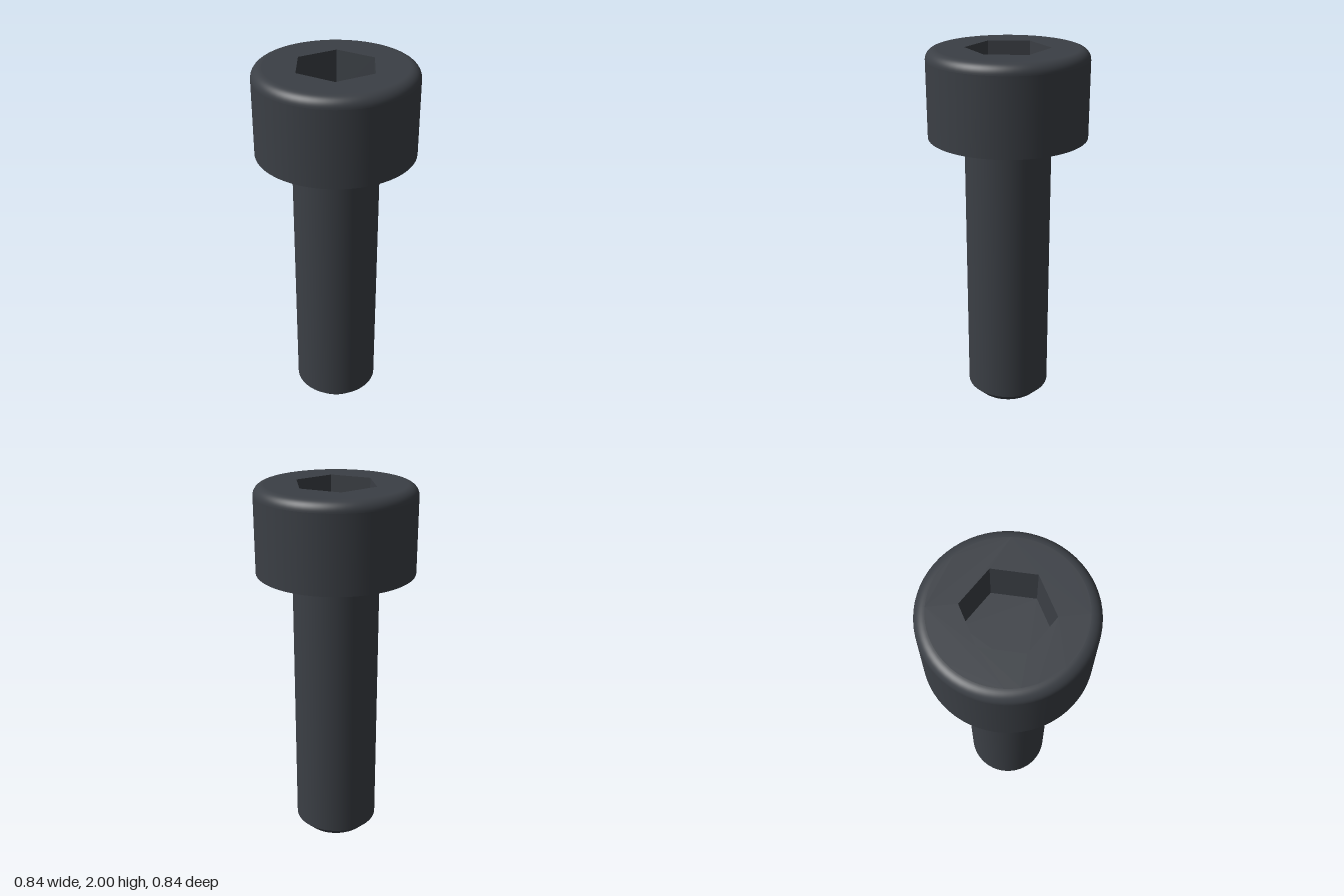
import * as THREE from 'three';

const SEGMENTS = 64;
const HEAD_R = 0.422, HEAD_BOTTOM = 1.54, TOP = 2, FILLET = 0.055;
const SHANK_R = 0.23, CHAMFER = 0.05;
const HEX_R = 0.222, SOCKET_DEPTH = 0.24;

export function createModel() {
  const steel = new THREE.MeshStandardMaterial({ color: 0x3b3f45 });
  const model = new THREE.Group();
  model.name = 'socketHeadBolt';

  const add = (parent, name, geometry) => {
    const mesh = new THREE.Mesh(geometry, steel);
    mesh.name = name;
    parent.add(mesh);
    return mesh;
  };
  const group = (name) => {
    const g = new THREE.Group();
    g.name = name;
    model.add(g);
    return g;
  };
  // Separate lathes keep the edges between bands sharp
  const band = (parent, name, points) =>
    add(parent, name, new THREE.LatheGeometry(points.map(([r, y]) => new THREE.Vector2(r, y)), SEGMENTS));

  // Shank with chamfered tip
  const shank = group('shank');
  band(shank, 'tipFace', [[0, 0], [SHANK_R - CHAMFER, 0]]);
  band(shank, 'tipChamfer', [[SHANK_R - CHAMFER, 0], [SHANK_R, CHAMFER]]);
  band(shank, 'shankSide', [[SHANK_R, CHAMFER], [SHANK_R, HEAD_BOTTOM]]);

  // Cylindrical head with rounded upper rim
  const head = group('head');
  band(head, 'headUnderside', [[SHANK_R, HEAD_BOTTOM], [HEAD_R, HEAD_BOTTOM]]);
  band(head, 'headSide', [[HEAD_R, HEAD_BOTTOM], [HEAD_R, TOP - FILLET]]);
  const rim = [];
  for (let i = 0; i <= 12; i++) {
    const a = (i / 12) * Math.PI / 2;
    rim.push([HEAD_R - FILLET + FILLET * Math.cos(a), TOP - FILLET + FILLET * Math.sin(a)]);
  }
  band(head, 'headRim', rim);

  // Flat top with a hexagonal opening, corners on the z axis
  const ring = (radius, count) => Array.from({ length: count }, (_, i) => {
    const a = Math.PI / 2 + (i / count) * Math.PI * 2;
    return new THREE.Vector2(radius * Math.cos(a), radius * Math.sin(a));
  });
  const face = new THREE.Shape(ring(HEAD_R - FILLET, SEGMENTS));
  face.holes.push(new THREE.Path(ring(HEX_R, 6)));
  add(head, 'headTop', new THREE.ShapeGeometry(face).rotateX(-Math.PI / 2).translate(0, TOP, 0));

  // Hex socket: inward-facing flat walls and a floor
  const socket = group('hexSocket');
  const walls = new THREE.CylinderGeometry(HEX_R, HEX_R, SOCKET_DEPTH, 6, 1, true).toNonIndexed();
  const p = walls.attributes.position;
  for (let i = 0; i < p.count; i++) p.setX(i, -p.getX(i)); // mirroring turns the faces inward
  walls.computeVertexNormals();
  add(socket, 'socketWalls', walls.translate(0, TOP - SOCKET_DEPTH / 2, 0));
  add(socket, 'socketFloor', new THREE.ShapeGeometry(new THREE.Shape(ring(HEX_R, 6)))
    .rotateX(-Math.PI / 2).translate(0, TOP - SOCKET_DEPTH, 0));

  return model;
}
